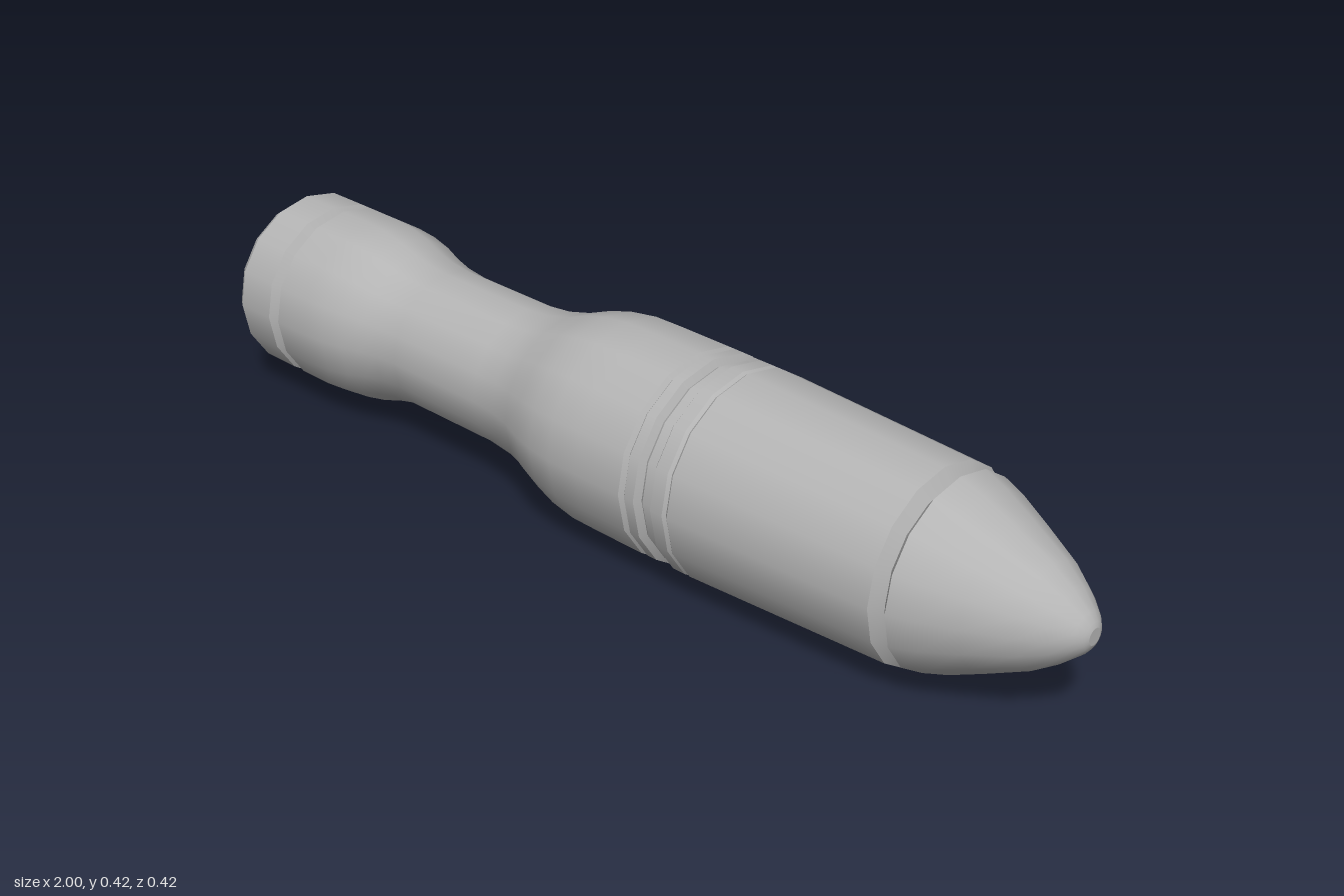
import * as THREE from 'three';

const SIDES = 16;
const AXIS_Y = 0.208;

export function createModel() {
  const model = new THREE.Group();
  model.name = 'pointedHandle';
  const grey = new THREE.MeshStandardMaterial({ color: 0xb4b4b4 });
  grey.name = 'grey';

  // Each section is a list of [x, radius] pairs turned about the long axis.
  const turn = (name, profile) => {
    const geo = new THREE.LatheGeometry(profile.map(([x, r]) => new THREE.Vector2(r, x)), SIDES);
    geo.rotateZ(-Math.PI / 2);
    const mesh = new THREE.Mesh(geo, grey);
    mesh.name = name;
    mesh.position.y = AXIS_Y;
    model.add(mesh);
  };
  // Sharp-edged parts: every pair of points becomes its own section.
  const turnSharp = (name, profile) => {
    for (let i = 0; i < profile.length - 1; i++) turn(name, [profile[i], profile[i + 1]]);
  };

  // Hollow butt end, its rim and the end collar
  turnSharp('buttCollar', [
    [-0.91, 0], [-0.91, 0.132], [-1, 0.132], [-1, 0.172], [-0.98, 0.186], [-0.892, 0.186],
  ]);
  turnSharp('buttGroove', [[-0.892, 0.186], [-0.876, 0.163], [-0.862, 0.186]]);

  // Waisted grip swelling into the body
  turn('grip', [
    [-0.862, 0.186], [-0.78, 0.186], [-0.73, 0.182], [-0.68, 0.172], [-0.64, 0.159],
    [-0.6, 0.15], [-0.55, 0.145], [-0.32, 0.145], [-0.26, 0.151], [-0.21, 0.164],
    [-0.16, 0.184], [-0.11, 0.198], [-0.05, 0.207], [0.02, 0.208], [0.13, 0.208],
  ]);

  // Rings around the middle
  turnSharp('middleRings', [
    [0.13, 0.208], [0.137, 0.199], [0.144, 0.207], [0.166, 0.207], [0.174, 0.193],
    [0.18, 0.197], [0.2, 0.197], [0.208, 0.207], [0.236, 0.207], [0.242, 0.202], [0.248, 0.207],
  ]);

  // Tapered front barrel, groove and rounded point
  turn('barrel', [[0.248, 0.207], [0.684, 0.19]]);
  turnSharp('noseGroove', [[0.684, 0.19], [0.7, 0.163], [0.716, 0.184]]);
  turn('nose', [
    [0.716, 0.184], [0.765, 0.167], [0.83, 0.137], [0.91, 0.098], [0.955, 0.067],
    [0.985, 0.04], [0.996, 0.026], [1, 0.016],
  ]);
  turn('noseTip', [[1, 0.016], [1, 0]]);

  return model;
}
